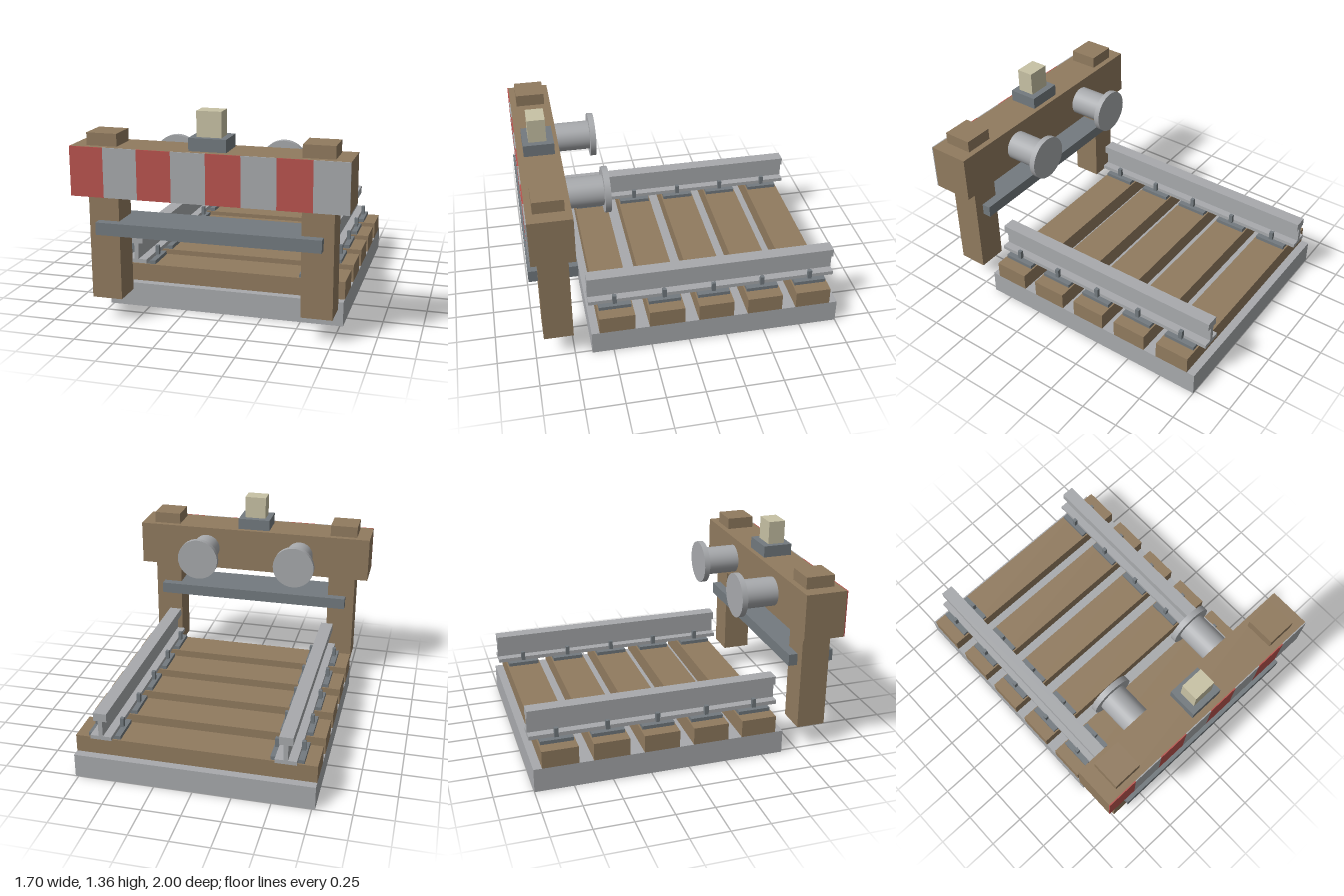
import * as THREE from 'three';

const material = (name, color) => {
  const m = new THREE.MeshStandardMaterial({ color });
  m.name = name;
  return m;
};

export function createModel() {
  const wood = material('brown wood', 0x917b5f);
  const pale = material('pale grey', 0xa8aaad);
  const dark = material('dark grey', 0x737a7f);
  const red = material('red', 0xb9534e);
  const cream = material('cream', 0xc8c2a5);

  const root = new THREE.Group();
  root.name = 'trackEndStop';

  // Box given by its extents on each axis
  const box = (name, mat, [x0, x1], [y0, y1], [z0, z1]) => {
    const mesh = new THREE.Mesh(new THREE.BoxGeometry(x1 - x0, y1 - y0, z1 - z0), mat);
    mesh.position.set((x0 + x1) / 2, (y0 + y1) / 2, (z0 + z1) / 2);
    mesh.name = name;
    root.add(mesh);
  };
  const around = (c, half) => [c - half, c + half];

  // Track bed and sleepers
  const back = -1, front = 0.64;
  box('trackBed', pale, [-0.77, 0.77], [0, 0.157], [back, front]);
  const sleeperZ = [0, 1, 2, 3, 4].map((i) => 0.472 - i * 0.3255);
  for (const z of sleeperZ) box('sleeper', wood, [-0.77, 0.77], [0.157, 0.272], around(z, 0.116));

  // I-section rail profile
  const half = [[0.068, 0.295], [0.068, 0.321], [0.014, 0.321], [0.014, 0.426], [0.043, 0.426], [0.043, 0.48]];
  const profile = [...half, ...half.slice().reverse().map(([x, y]) => [-x, y])];
  const railShape = new THREE.Shape(profile.map(([x, y]) => new THREE.Vector2(x, y)));
  const railGeometry = new THREE.ExtrudeGeometry(railShape, { depth: front - back, bevelEnabled: false });

  for (const side of [-1, 1]) {
    const x = side * 0.582;
    const rail = new THREE.Mesh(railGeometry, pale);
    rail.name = side > 0 ? 'leftRail' : 'rightRail';
    rail.position.set(x, 0, back);
    root.add(rail);

    // Tie plates and rail spikes
    for (const z of sleeperZ) {
      box('tiePlate', dark, around(x, 0.105), [0.272, 0.296], around(z, 0.106));
      for (const s of [-1, 1]) box('spike', dark, around(x + s * 0.083, 0.012), [0.306, 0.367], around(z, 0.013));
    }

    // Upright post
    box(side > 0 ? 'leftPost' : 'rightPost', wood, around(side * 0.66, 0.096), [0.157, 1.2], [0.752, 0.942]);

    // Bumper: shaft and striking disc, facing the track
    const bumper = new THREE.Group();
    bumper.name = side > 0 ? 'leftBumper' : 'rightBumper';
    bumper.position.set(side * 0.349, 0.97, 0);
    for (const [name, r, z0, z1] of [['bumperShaft', 0.097, 0.475, 0.72], ['bumperDisc', 0.146, 0.442, 0.48]]) {
      const mesh = new THREE.Mesh(new THREE.CylinderGeometry(r, r, z1 - z0, 32), pale);
      mesh.name = name;
      mesh.rotation.x = Math.PI / 2;
      mesh.position.z = (z0 + z1) / 2;
      bumper.add(mesh);
    }
    root.add(bumper);
  }

  // Main beam with striped front boards
  box('beam', wood, [-0.85, 0.85], [0.815, 1.122], [0.712, 0.983]);
  const stripeWidth = 1.7 / 8;
  for (let i = 0; i < 8; i++) {
    const x = -0.85 + i * stripeWidth;
    box('stripe', i % 2 ? pale : red, [x, x + stripeWidth], [0.815, 1.122], [0.983, 0.99]);
  }

  // Lower cross brace
  box('crossBrace', dark, [-0.695, 0.695], [0.582, 0.66], [0.692, 1]);

  // Lamp on its base
  box('lampBase', dark, [-0.115, 0.115], [1.122, 1.2], [0.745, 0.942]);
  box('lamp', cream, [-0.076, 0.076], [1.2, 1.355], [0.79, 0.904]);

  return root;
}
